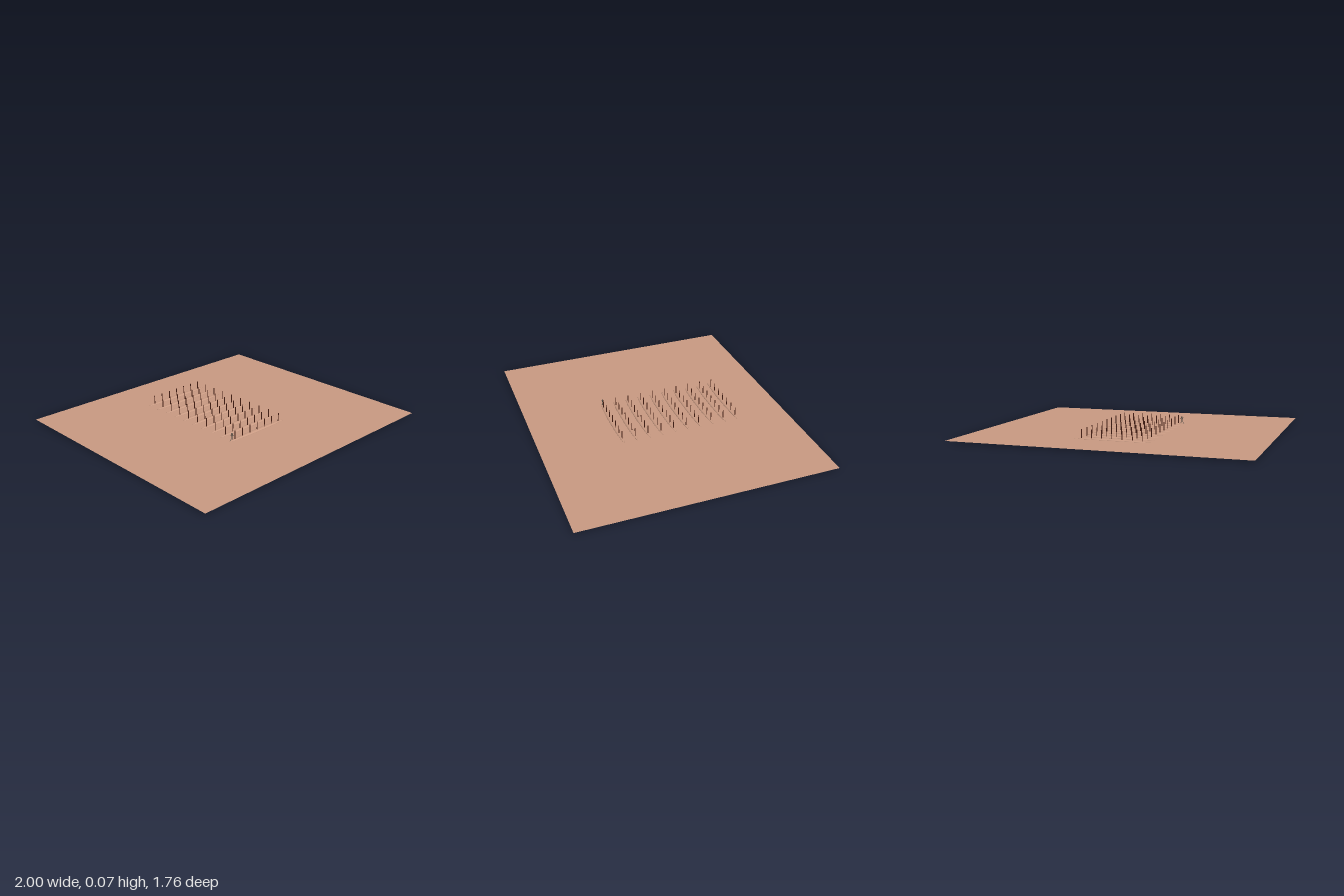
import * as THREE from 'three';

export function createModel() {
  const field = new THREE.Group();
  field.name = 'plantedField';
  const soil = new THREE.MeshStandardMaterial({ name: 'clay soil', color: 0xc99a82, side: THREE.DoubleSide });
  const wood = new THREE.MeshStandardMaterial({ name: 'dark wood', color: 0x4a2014 });
  const cloth = new THREE.MeshStandardMaterial({ name: 'dark grey', color: 0x4a443c });

  const add = (name, geometry, material, x, y, z, parent = field) => {
    const mesh = new THREE.Mesh(geometry, material);
    mesh.name = name;
    mesh.position.set(x, y, z);
    parent.add(mesh);
    return mesh;
  };

  // Flat ground sheet
  add('ground', new THREE.PlaneGeometry(2, 1.76).rotateX(-Math.PI / 2), soil, 0, 0.009, 0);

  // Long soil ridges, each with a row of stakes
  const ridge = new THREE.SphereGeometry(1, 32, 16).scale(0.262, 0.009, 0.018);
  const stake = new THREE.CylinderGeometry(0.003, 0.003, 0.062, 8);
  for (let row = 0; row < 10; row++) {
    const z = 0.318 - row * 0.0933;
    add('ridge', ridge, soil, -0.01, 0.009, z);
    for (let i = 0; i < 7; i++) add('stake', stake, wood, -0.22 + i * 0.07, 0.042, z);
  }

  // Small stick figure at the end of the front ridge
  const worker = new THREE.Group();
  worker.name = 'worker';
  worker.position.set(-0.247, 0, 0.316);
  field.add(worker);
  const limb = (name, a, b, radius) => {
    const from = new THREE.Vector3(...a), to = new THREE.Vector3(...b);
    const dir = to.clone().sub(from);
    const mid = from.clone().add(to).multiplyScalar(0.5);
    const mesh = add(name, new THREE.CylinderGeometry(radius, radius, dir.length(), 8), cloth, mid.x, mid.y, mid.z, worker);
    mesh.quaternion.setFromUnitVectors(new THREE.Vector3(0, 1, 0), dir.normalize());
  };
  add('head', new THREE.SphereGeometry(0.006, 12, 8), cloth, 0.001, 0.058, 0, worker);
  limb('torso', [0, 0.033, 0], [0, 0.053, 0], 0.0025);
  limb('rightLeg', [0, 0.034, 0], [-0.016, 0.011, 0], 0.0016);
  limb('leftLeg', [0, 0.034, 0], [0.009, 0.014, 0], 0.0016);
  limb('rightArm', [0, 0.049, 0], [-0.014, 0.053, 0.002], 0.0014);
  limb('leftArm', [0, 0.049, 0], [0.015, 0.044, 0.002], 0.0014);

  return field;
}
